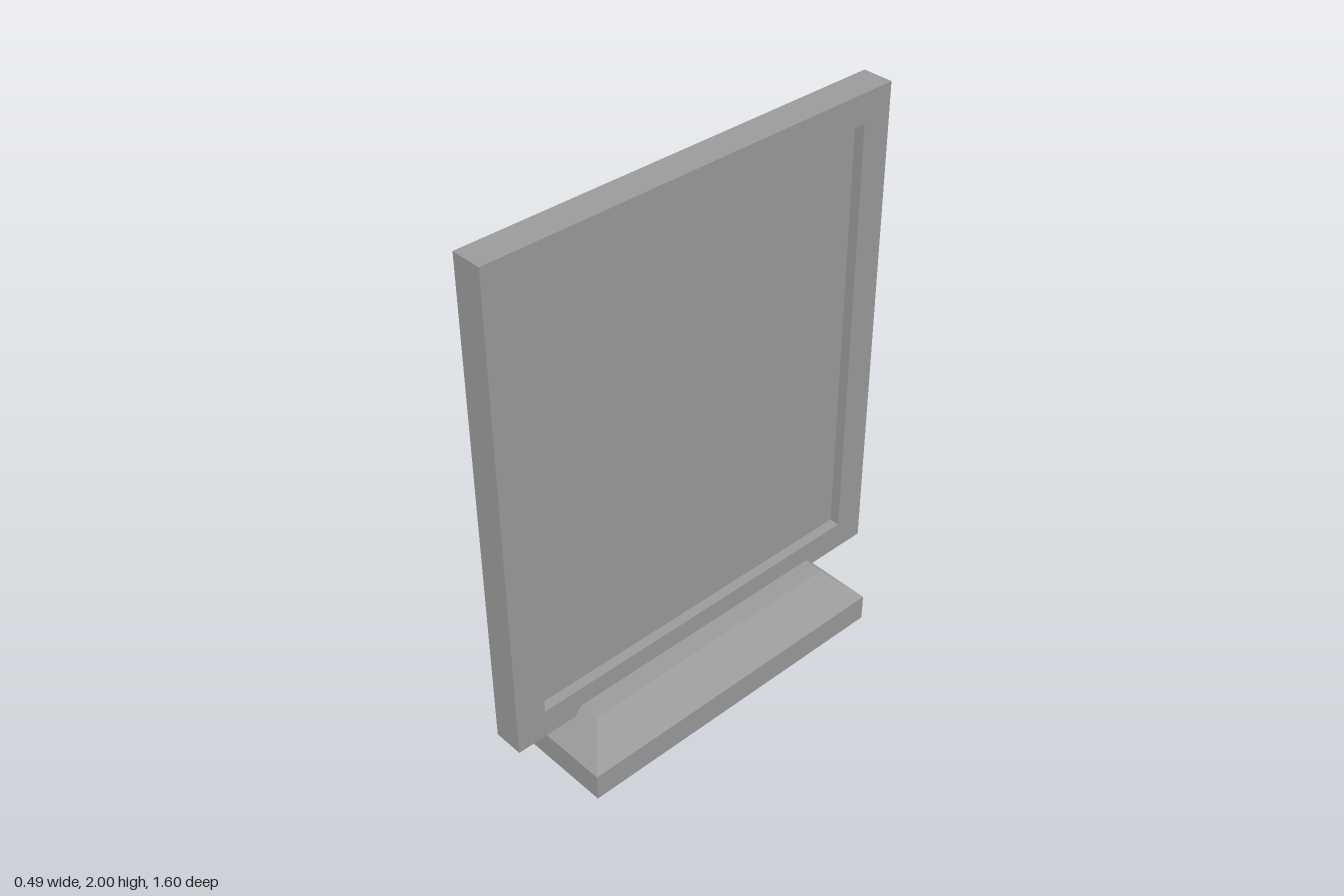
import * as THREE from 'three';

const material = new THREE.MeshStandardMaterial({ color: 0x9c9c9c });

function addMesh(group, name, geometry, x, y, z) {
  const mesh = new THREE.Mesh(geometry, material);
  mesh.name = name;
  mesh.position.set(x, y, z);
  group.add(mesh);
}

// Rectangle outline in the (z, y) plane of the sign
function rectangle(Type, halfWidth, bottom, top) {
  const path = new Type();
  path.moveTo(-halfWidth, bottom);
  path.lineTo(halfWidth, bottom);
  path.lineTo(halfWidth, top);
  path.lineTo(-halfWidth, top);
  path.closePath();
  return path;
}

// Box whose top face is shrunk to make sloping sides, standing on y = 0
function taperedBox(width, height, depth, topWidth, topDepth) {
  const geometry = new THREE.BoxGeometry(width, height, depth);
  geometry.translate(0, height / 2, 0);
  const p = geometry.attributes.position;
  for (let i = 0; i < p.count; i++) {
    if (p.getY(i) > height / 2) {
      p.setX(i, Math.sign(p.getX(i)) * topWidth / 2);
      p.setZ(i, Math.sign(p.getZ(i)) * topDepth / 2);
    }
  }
  geometry.computeVertexNormals();
  return geometry;
}

export function createModel() {
  const model = new THREE.Group();
  model.name = 'standingSign';

  // Foot: a plinth with a sloped upper part
  const footWidth = 0.494, footDepth = 1.264, footZ = 0.006;
  const plinthHeight = 0.1;
  const plinth = new THREE.BoxGeometry(footWidth, plinthHeight, footDepth);
  addMesh(model, 'basePlinth', plinth, 0, plinthHeight / 2, footZ);
  const slope = taperedBox(footWidth, 0.115, footDepth, 0.262, 1.058);
  addMesh(model, 'baseSlope', slope, 0, plinthHeight, footZ);

  // Frame around the board, extruded across x
  const thickness = 0.112;
  const outline = rectangle(THREE.Shape, 0.798, 0.182, 2);
  outline.holes.push(rectangle(THREE.Path, 0.685, 0.29, 1.893));
  const frameGeometry = new THREE.ExtrudeGeometry(outline, { depth: thickness, bevelEnabled: false });
  frameGeometry.translate(0, 0, -thickness / 2);
  frameGeometry.rotateY(Math.PI / 2);
  addMesh(model, 'frame', frameGeometry, 0, 0, 0);

  // Board recessed on both faces, its edges tucked into the frame
  addMesh(model, 'board', new THREE.BoxGeometry(0.036, 1.623, 1.39), 0, 1.0915, 0);

  return model;
}
